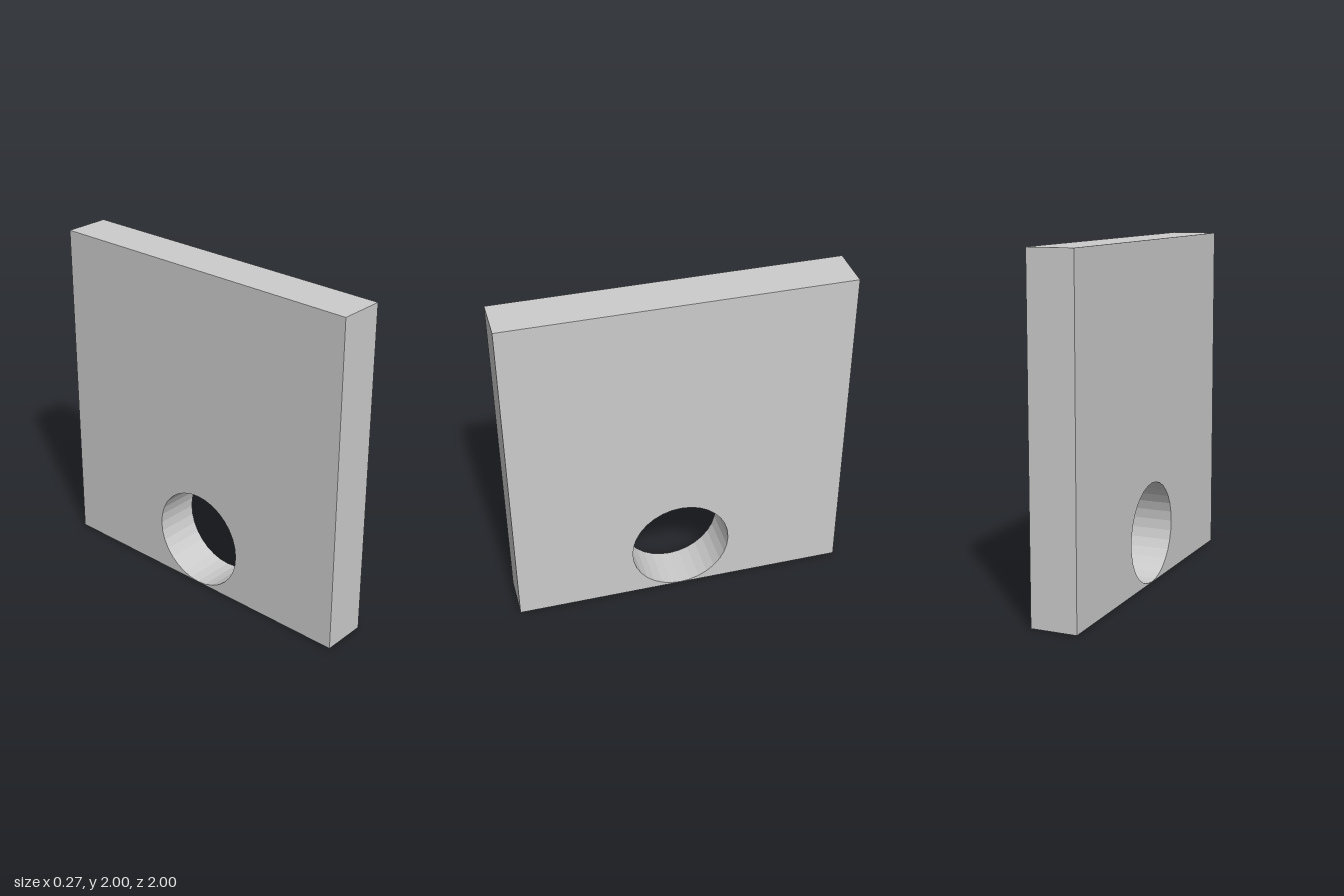
import * as THREE from 'three';

const SIZE = 2, THICKNESS = 0.27;
const HOLE_RADIUS = 0.298, HOLE_Y = 0.301;

export function createModel() {
  const group = new THREE.Group();
  group.name = 'piercedPanel';

  // Square outline standing on the ground
  const outline = new THREE.Shape();
  outline.moveTo(-SIZE / 2, 0);
  outline.lineTo(SIZE / 2, 0);
  outline.lineTo(SIZE / 2, SIZE);
  outline.lineTo(-SIZE / 2, SIZE);
  outline.closePath();

  // Round hole just above the bottom edge
  const hole = new THREE.Path();
  hole.absarc(0, HOLE_Y, HOLE_RADIUS, 0, Math.PI * 2, true);
  outline.holes.push(hole);

  // Extrude the thickness, then turn the panel so its faces look along x
  const geometry = new THREE.ExtrudeGeometry(outline, {
    depth: THICKNESS,
    bevelEnabled: false,
    curveSegments: 16,
  });
  geometry.translate(0, 0, -THICKNESS / 2);
  geometry.rotateY(Math.PI / 2);

  const material = new THREE.MeshStandardMaterial({ color: 0xcccccc, flatShading: true });
  const panel = new THREE.Mesh(geometry, material);
  panel.name = 'panel';
  group.add(panel);
  return group;
}
